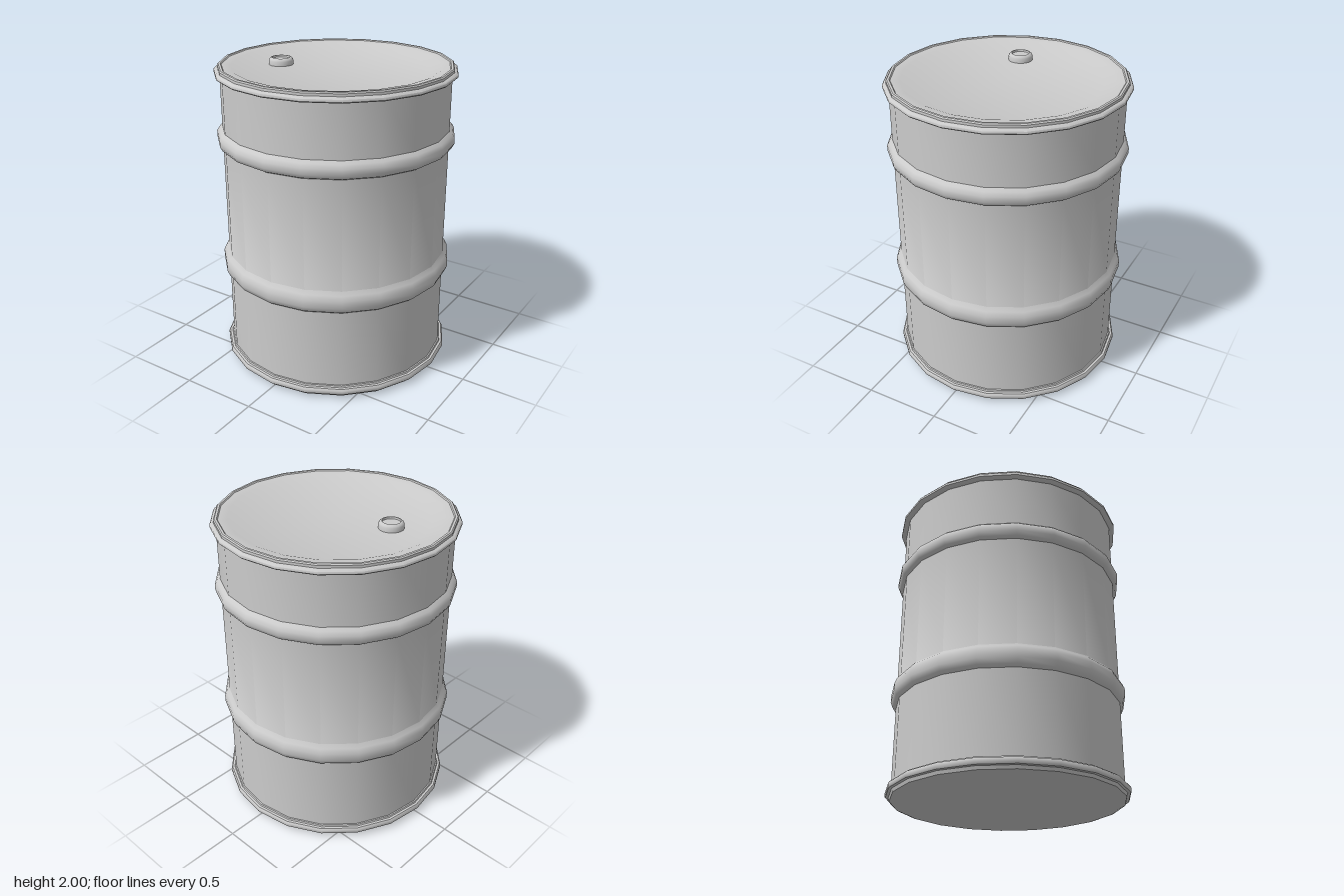
import * as THREE from 'three';
import { toCreasedNormals } from 'three/addons/utils/BufferGeometryUtils.js';

const SIDES = 20;
const R = 0.73;      // barrel wall
const OUTER = 0.765; // hoops and rims

export function createModel() {
  const group = new THREE.Group();
  const material = new THREE.MeshStandardMaterial({ color: 0xcccccc, side: THREE.DoubleSide });

  // Turned part: profile of [radius, y], going up the outside
  const turn = (name, profile, sides = SIDES, crease = 0.75) => {
    const points = profile.map(([r, y]) => new THREE.Vector2(r, y));
    const geometry = toCreasedNormals(new THREE.LatheGeometry(points, sides), crease);
    const mesh = new THREE.Mesh(geometry, material);
    mesh.name = name;
    group.add(mesh);
    return mesh;
  };

  // Rounded rolling hoop between two heights
  const hoop = (y0, y1) => [
    [0, 0], [0.6, 0.1], [1, 0.33], [1, 0.64], [0.6, 0.85], [0, 1],
  ].map(([out, t]) => [R + (OUTER - R) * out, y0 + (y1 - y0) * t]);

  // Wall with two hoops
  turn('barrelWall', [[R, 0.04], ...hoop(0.615, 0.765), ...hoop(1.485, 1.6), [R, 1.96]]);

  // Bottom chime and flat base
  turn('bottomRim', [
    [0, 0.005], [0.715, 0.005], [0.735, 0.012], [0.742, 0.033],
    [0.76, 0.035], [OUTER, 0.042], [OUTER, 0.064], [0.757, 0.074],
    [0.742, 0.076], [0.738, 0.086], [R, 0.088],
  ]);

  // Top chime
  turn('topRim', [
    [R, 1.936], [0.758, 1.938], [OUTER, 1.945], [OUTER, 1.96], [0.758, 1.968],
    [0.742, 1.971], [0.742, 1.987], [0.735, 1.994], [0.721, 1.994], [0.715, 1.987],
  ]);

  // Dished lid
  turn('lid', [[0.715, 1.987], [0.66, 1.981], [0.59, 1.955], [0, 1.955]]);

  // Filler cap with a recessed top
  const cap = turn('fillerCap', [
    [0.078, 0], [0.078, 0.027], [0.073, 0.037], [0.063, 0.045],
    [0.057, 0.045], [0.055, 0.033], [0, 0.033],
  ], 24);
  cap.position.set(-0.355, 1.955, 0.1);

  return group;
}
